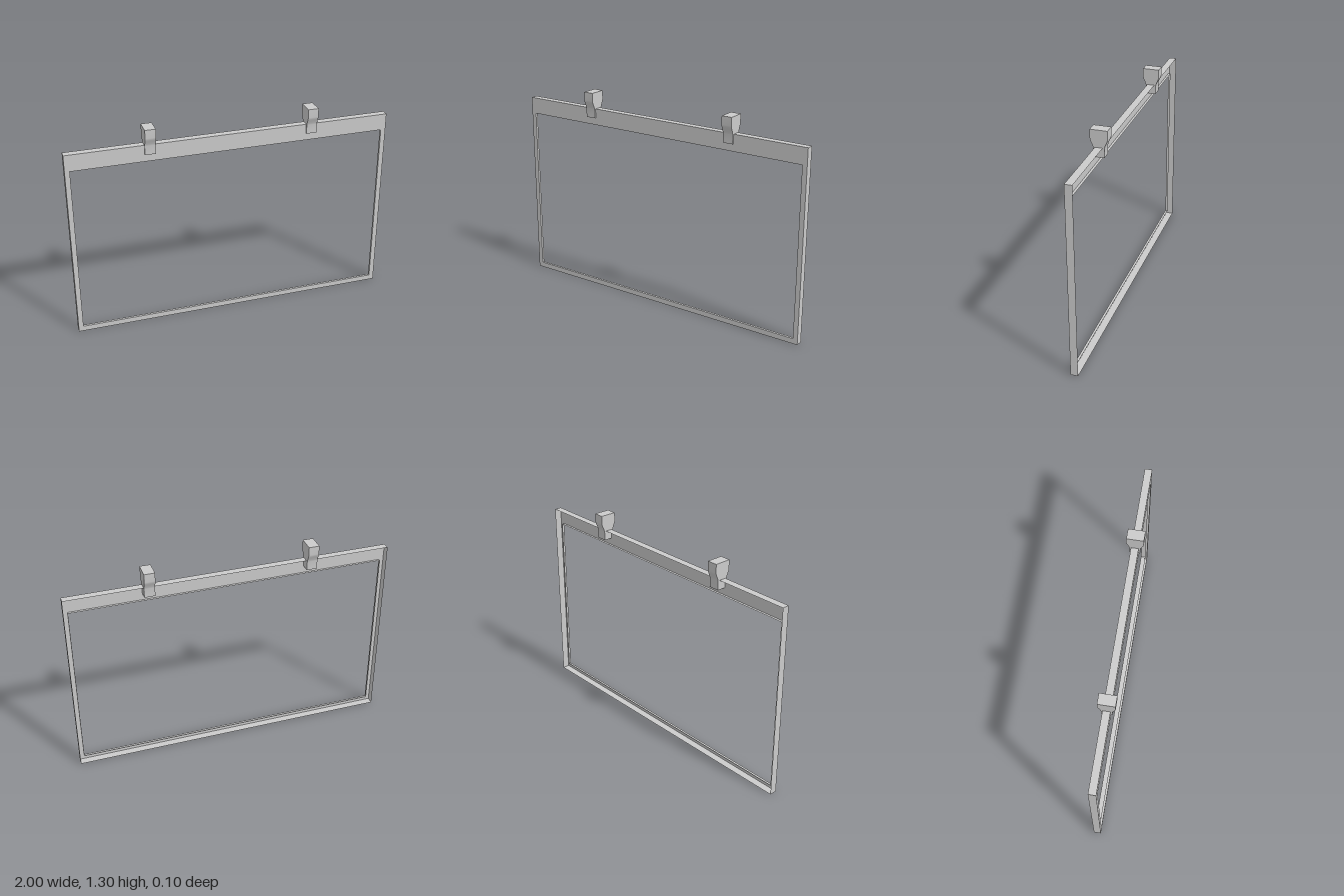
import * as THREE from 'three';
import { toCreasedNormals } from 'three/addons/utils/BufferGeometryUtils.js';

const solid = new THREE.MeshStandardMaterial({ color: 0xcccccc });
const sheet = new THREE.MeshStandardMaterial({ color: 0xcccccc, side: THREE.DoubleSide });

const FRONT = 0.0225, BACK = -0.0225;
const OUTER = [[-1, 0], [1, 0], [1, 1.2], [-1, 1.2]];
const OPENING = [[-0.97, 0.033], [0.97, 0.033], [0.97, 1.097], [-0.97, 1.097]];
const CLIP_X = 0.5, CLIP_WIDTH = 0.065;

function part(name, geometry, material) {
  const mesh = new THREE.Mesh(geometry, material);
  mesh.name = name;
  return mesh;
}

// Four thin walls running back from the front face along a counter-clockwise outline
function band(name, corners, zFront, zBack) {
  const group = new THREE.Group();
  group.name = name;
  corners.forEach(([x0, y0], i) => {
    const [x1, y1] = corners[(i + 1) % corners.length];
    const g = new THREE.PlaneGeometry(Math.hypot(x1 - x0, y1 - y0), zFront - zBack);
    g.rotateX(Math.PI / 2); // faces outward (-y) before being turned along the edge
    g.rotateZ(Math.atan2(y1 - y0, x1 - x0));
    g.translate((x0 + x1) / 2, (y0 + y1) / 2, (zFront + zBack) / 2);
    group.add(part(name + 'Wall', g, sheet));
  });
  return group;
}

// Hanger clip: flared head easing into a narrow grip, extruded along x
function clipGeometry() {
  const s = new THREE.Shape();
  s.moveTo(-0.032, 1.142);
  s.lineTo(0.032, 1.142);
  s.lineTo(0.032, 1.19);
  s.bezierCurveTo(0.032, 1.215, 0.051, 1.235, 0.051, 1.252);
  s.lineTo(0.051, 1.304);
  s.lineTo(-0.051, 1.304);
  s.lineTo(-0.051, 1.252);
  s.bezierCurveTo(-0.051, 1.235, -0.032, 1.215, -0.032, 1.19);
  s.closePath();
  const g = new THREE.ExtrudeGeometry(s, { depth: CLIP_WIDTH, bevelEnabled: false, curveSegments: 10 });
  g.translate(0, 0, -CLIP_WIDTH / 2);
  g.rotateY(Math.PI / 2);
  return toCreasedNormals(g, Math.PI / 5);
}

export function createModel() {
  const model = new THREE.Group();
  model.name = 'hangingFrame';

  // Front face with its large opening
  const face = new THREE.Shape(OUTER.map(p => new THREE.Vector2(...p)));
  face.holes.push(new THREE.Path(OPENING.map(p => new THREE.Vector2(...p))));
  const faceGeometry = new THREE.ShapeGeometry(face);
  faceGeometry.translate(0, 0, FRONT);
  model.add(part('frontFace', faceGeometry, sheet));

  // Full-depth outer walls, open at the back, and a shallow lip around the opening
  model.add(band('outerRim', OUTER, FRONT, BACK));
  model.add(band('openingLip', OPENING, FRONT, FRONT - 0.015));

  // Pair of hanger clips gripping the top rail
  const clip = clipGeometry();
  for (const side of [-1, 1]) {
    const mesh = part(side < 0 ? 'rightClip' : 'leftClip', clip, solid);
    mesh.position.x = side * CLIP_X;
    model.add(mesh);
  }
  return model;
}
